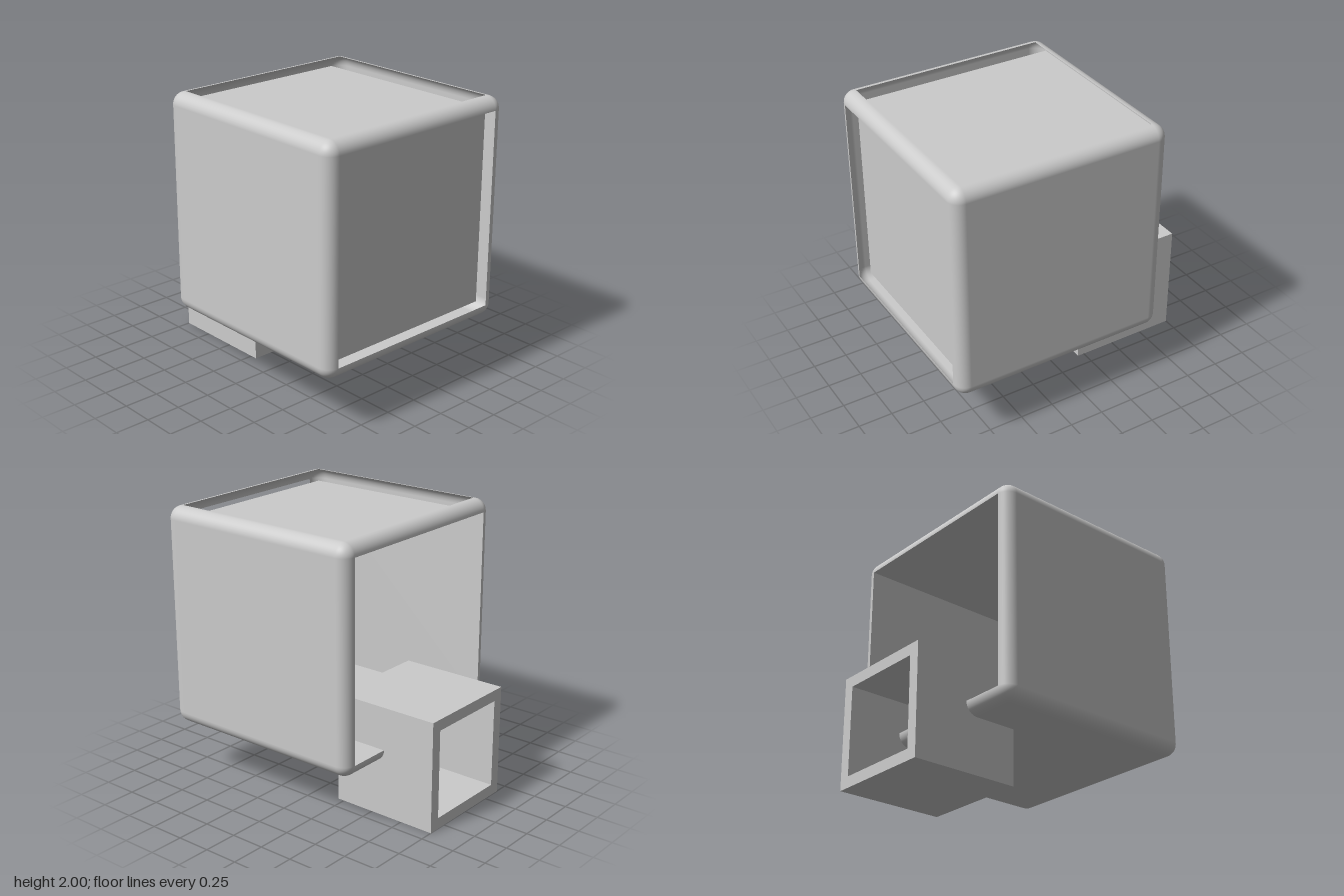
import * as THREE from 'three';
import { RoundedBoxGeometry } from 'three/addons/geometries/RoundedBoxGeometry.js';

const SIZE = 1.6, RADIUS = 0.09, HALF = SIZE / 2;
const material = new THREE.MeshStandardMaterial({ color: 0xcccccc });
const thin = new THREE.MeshStandardMaterial({ color: 0xcccccc, side: THREE.DoubleSide });

function addMesh(parent, name, geometry, mat, x, y, z) {
  const mesh = new THREE.Mesh(geometry, mat);
  mesh.name = name;
  mesh.position.set(x, y, z);
  parent.add(mesh);
  return mesh;
}

// Rounded box whose flat left, right and top faces are left open
function openShell() {
  const source = new RoundedBoxGeometry(SIZE, SIZE, SIZE, 5, RADIUS);
  const p = source.attributes.position, n = source.attributes.normal;
  const positions = [], normals = [];
  const lies = (i, axis, value) =>
    [0, 1, 2].every(k => Math.abs(p.getComponent(i + k, axis) - value) < 1e-4);
  for (let i = 0; i < p.count; i += 3) {
    if (lies(i, 0, HALF) || lies(i, 0, -HALF) || lies(i, 1, HALF)) continue;
    for (let k = i; k < i + 3; k++) {
      positions.push(p.getX(k), p.getY(k), p.getZ(k));
      normals.push(n.getX(k), n.getY(k), n.getZ(k));
    }
  }
  const geometry = new THREE.BufferGeometry();
  geometry.setAttribute('position', new THREE.Float32BufferAttribute(positions, 3));
  geometry.setAttribute('normal', new THREE.Float32BufferAttribute(normals, 3));
  return geometry;
}

// Thin five-sided box, open towards -x
function openLining(width, side) {
  const geometry = new THREE.BoxGeometry(width, side, side);
  const index = Array.from(geometry.index.array);
  index.splice(6, 6);
  geometry.setIndex(index);
  geometry.clearGroups();
  return geometry;
}

// Square tube running along x
function squareTube(outer, inner, length) {
  const square = (path, s) => path.moveTo(-s, -s).lineTo(s, -s).lineTo(s, s).lineTo(-s, s).closePath();
  const shape = square(new THREE.Shape(), outer / 2);
  shape.holes.push(square(new THREE.Path(), inner / 2));
  const geometry = new THREE.ExtrudeGeometry(shape, { depth: length, bevelEnabled: false });
  return geometry.rotateY(Math.PI / 2);
}

export function createModel() {
  const model = new THREE.Group();
  model.name = 'nestedBoxes';

  // Large rounded case with a recessed lining
  const large = new THREE.Group();
  large.name = 'largeCase';
  large.position.set(0.2, 1.2, 0);
  addMesh(large, 'roundedShell', openShell(), thin, 0, 0, 0);
  const side = SIZE - 2 * RADIUS;
  addMesh(large, 'innerLining', openLining(SIZE - RADIUS, side), thin, -RADIUS / 2, 0, 0);
  model.add(large);

  // Small hollow box, open at its outer side
  const small = new THREE.Group();
  small.name = 'smallBox';
  small.position.set(-0.6, 0.4, 0);
  addMesh(small, 'smallBoxWalls', squareTube(0.8, 0.64, 0.72), material, -0.4, 0, 0);
  addMesh(small, 'smallBoxEnd', new THREE.BoxGeometry(0.08, 0.8, 0.8), material, 0.36, 0, 0);
  model.add(small);

  return model;
}
